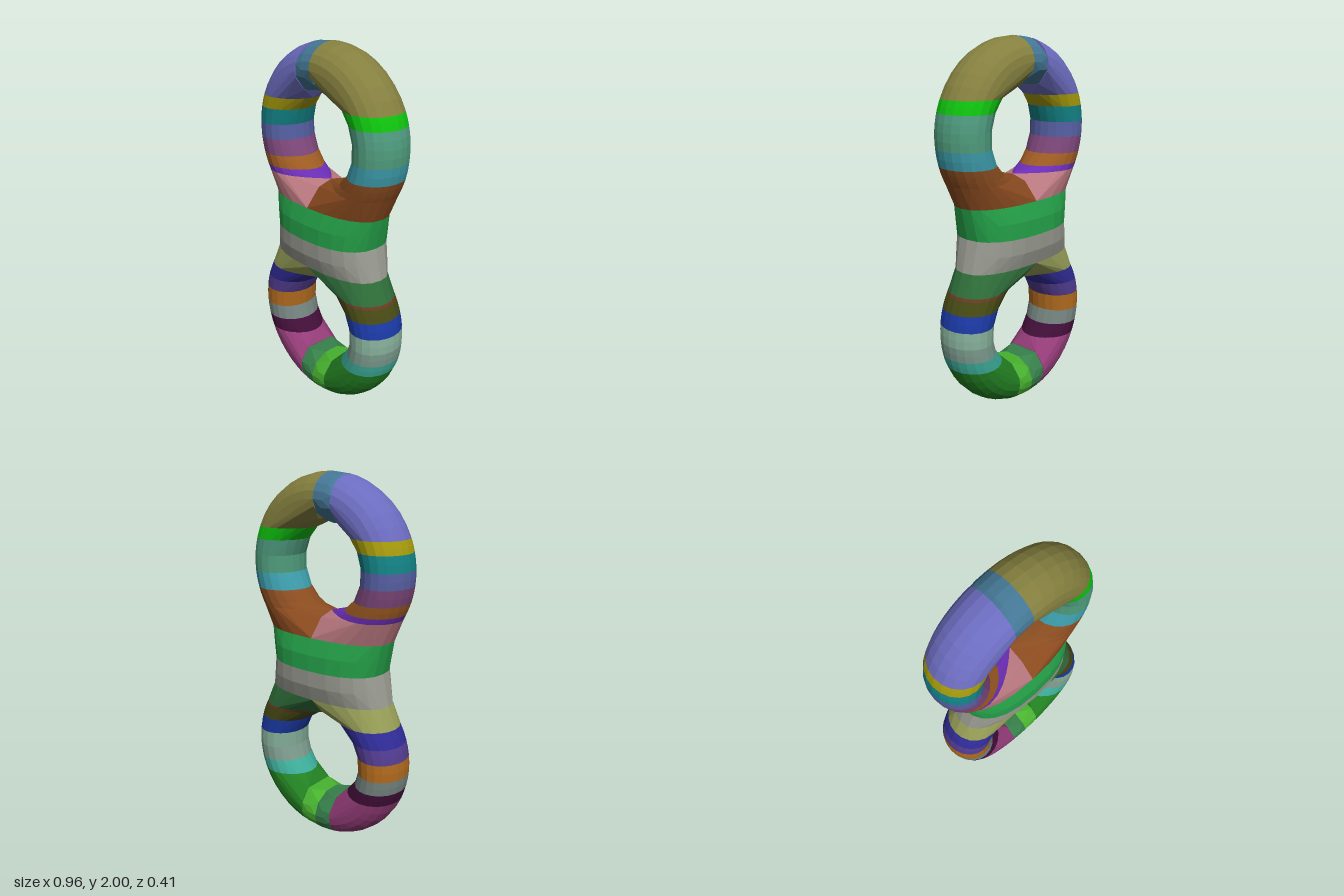
import * as THREE from 'three';
import { ConvexGeometry } from 'three/addons/geometries/ConvexGeometry.js';

// Ring: centre height, centre-line radius, tube half-width, tube half-depth
const C = 1.518, R = 0.355, T = 0.1275, D = 0.152;

// Waist cross-sections: [height, half-width, half-depth]
const WAIST = [[1, 0.337, 0.204], [1.085, 0.349, 0.2], [1.17, 0.374, 0.173]];

// Points of one half of the ring lying inside y0..y1 and xa..xb
function ringPoints(y0, y1, xa, xb) {
  const pts = [], rows = y1 > 1.95 ? 7 : 2;
  for (let i = 0; i <= 10; i++) {
    const t = -Math.PI / 2 + (Math.PI * i) / 10;
    const z = D * Math.sin(t), w = T * Math.cos(t);
    const outer = R + w, inner = R - w;
    const top = Math.min(y1, C + Math.sqrt(outer * outer - xa * xa));
    if (top < y0) continue;
    for (let j = 0; j <= rows; j++) {
      const f = rows > 2 ? Math.sin((j / rows) * Math.PI / 2) : j / rows;
      const y = y0 + (top - y0) * f, d2 = (y - C) ** 2;
      const lo = Math.max(xa, Math.sqrt(Math.max(0, inner * inner - d2)));
      const hi = Math.min(xb, Math.sqrt(Math.max(0, outer * outer - d2)));
      if (hi < lo - 1e-6) continue;
      pts.push(new THREE.Vector3(lo, y, z));
      if (hi - lo > 1e-4) pts.push(new THREE.Vector3(hi, y, z));
    }
  }
  return pts;
}

// Rounded lens-shaped waist section, from angle a0 to a1
function waistPoints([y, w, d], a0, a1, n) {
  const pts = [], pow = (v) => Math.sign(v) * Math.abs(v) ** 0.82;
  for (let i = 0; i <= n; i++) {
    const a = a0 + ((a1 - a0) * i) / n;
    pts.push(new THREE.Vector3(w * pow(Math.cos(a)), y, d * pow(Math.sin(a))));
  }
  return pts;
}

// Upper bands: [name, colour, side, y0, y1, xa, xb]
const UPPER = [
  ['crown', 0x85803f, 1, 1.71, 2.1],
  ['shoulderBand', 0x0fc40f, 1, 1.645, 1.71],
  ['sideBand', 0x4f9c80, 1, 1.56, 1.645],
  ['sideBand', 0x4f9c7c, 1, 1.47, 1.56],
  ['lowerSideBand', 0x3d9dac, 1, 1.38, 1.47],
  ['hipBand', 0x8a4c20, 1, 1.32, 1.38],
  ['hipBand', 0x8a4c20, 1, 1.29, 1.32],
  ['bridge', 0x8a4a1f, 1, 1.24, 1.29],
  ['crown', 0x6c6cc0, -1, 1.695, 2.1, 0.105],
  ['crownBand', 0x447795, -1, 1.695, 2.1, 0, 0.105],
  ['shoulderBand', 0xa89c0c, -1, 1.63, 1.695],
  ['sideBand', 0x138487, -1, 1.545, 1.63],
  ['sideBand', 0x5660a4, -1, 1.465, 1.545],
  ['lowerSideBand', 0x7c4679, -1, 1.38, 1.465],
  ['hipBand', 0x9c5a22, -1, 1.32, 1.38],
  ['hipBand', 0x6a2db4, -1, 1.29, 1.32],
  ['bridge', 0xb9787f, -1, 1.24, 1.29],
];

// Lower bands, described upside down (heights are 2 - y)
const LOWER = [
  ['base', 0x228022, 1, 1.695, 2.1, 0.1],
  ['baseBand', 0x48b22f, 1, 1.695, 2.1, 0, 0.1],
  ['shoulderBand', 0x3cab98, 1, 1.625, 1.695],
  ['sideBand', 0x7c9c8e, 1, 1.545, 1.625],
  ['sideBand', 0x86b09a, 1, 1.455, 1.545],
  ['upperSideBand', 0x1b3aa6, 1, 1.37, 1.455],
  ['hipBand', 0x474a14, 1, 1.3, 1.37],
  ['hipBand', 0x6b3a22, 1, 1.285, 1.3],
  ['bridge', 0x2f6f3a, 1, 1.24, 1.285],
  ['base', 0x943c78, -1, 1.695, 2.1, 0.1],
  ['baseBand', 0x36804a, -1, 1.695, 2.1, 0, 0.1],
  ['shoulderBand', 0x410f38, -1, 1.625, 1.695],
  ['sideBand', 0x74837f, -1, 1.545, 1.625],
  ['sideBand', 0xb06a1e, -1, 1.45, 1.545],
  ['upperSideBand', 0x523c90, -1, 1.37, 1.45],
  ['hipBand', 0x302c98, -1, 1.285, 1.37, 0.11],
  ['holeSliver', 0x208a5c, -1, 1.285, 1.315, 0, 0.11],
  ['bridge', 0x98a058, -1, 1.24, 1.285],
];

export function createModel() {
  const group = new THREE.Group();

  const addHull = (name, color, pts) => {
    const mesh = new THREE.Mesh(
      new ConvexGeometry(pts),
      new THREE.MeshStandardMaterial({ color, flatShading: true })
    );
    mesh.name = name;
    group.add(mesh);
  };

  // Two rings, cut into convex bands
  [[UPPER, 'upper', false], [LOWER, 'lower', true]].forEach(([bands, ring, flip]) => {
    for (const [name, color, side, y0, y1, xa = 0, xb = 1] of bands) {
      const pts = ringPoints(y0, y1, xa, xb);
      if (name === 'bridge') pts.push(...waistPoints(WAIST[2], -Math.PI / 2, Math.PI / 2, 12));
      pts.forEach((p) => p.set(p.x * side, flip ? 2 - p.y : p.y, p.z));
      const label = name[0].toUpperCase() + name.slice(1);
      addHull(ring + (side > 0 ? 'Left' : 'Right') + label, color, pts);
    }
  });

  // Waist halves
  const waist = WAIST.flatMap((s) => waistPoints(s, 0, Math.PI * 23 / 12, 23));
  addHull('upperWaist', 0x24a048, waist);
  addHull('lowerWaist', 0x9a9c92, waist.map((p) => new THREE.Vector3(p.x, 2 - p.y, p.z)));

  return group;
}
